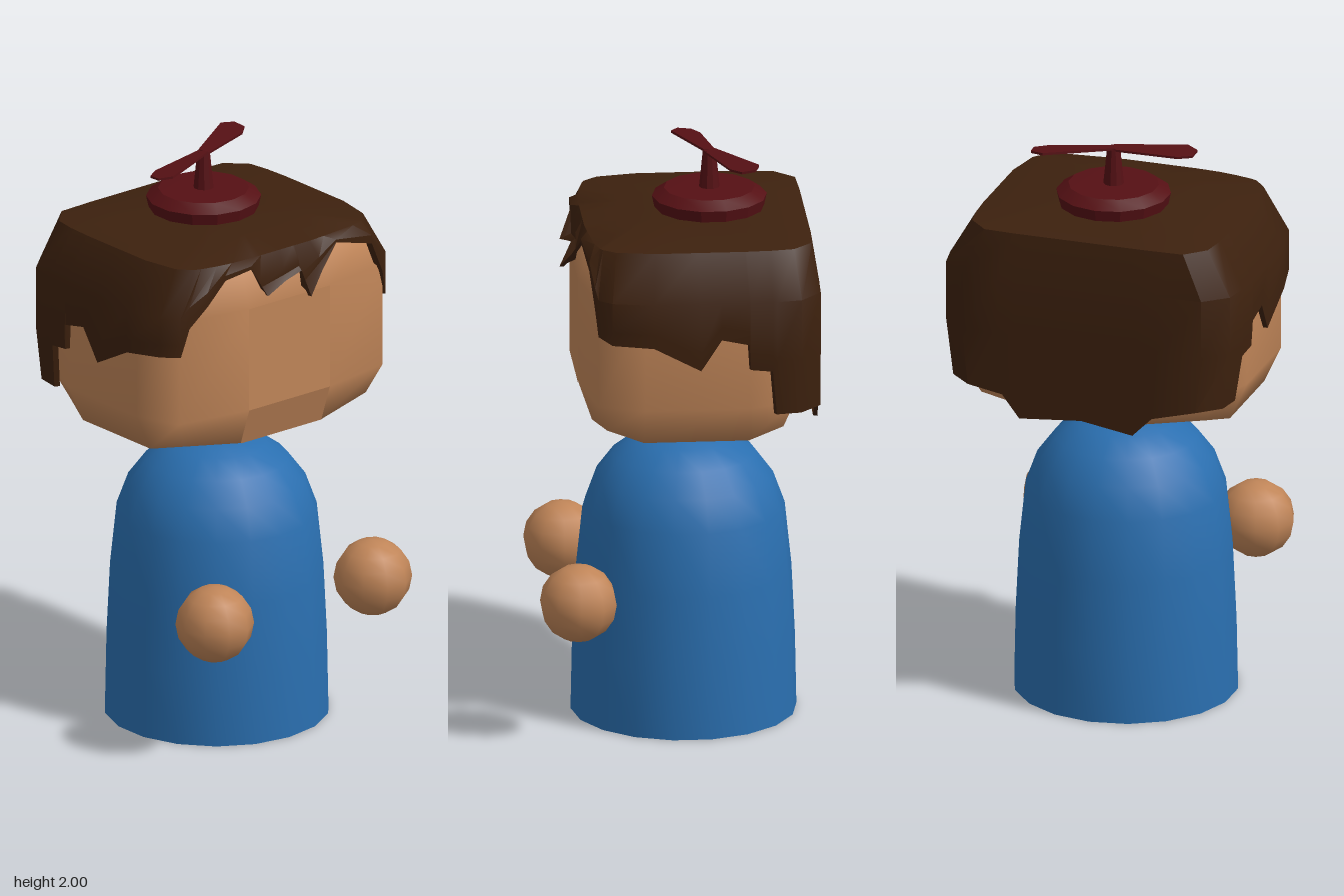
import * as THREE from 'three';
import { mergeVertices, toCreasedNormals } from 'three/addons/utils/BufferGeometryUtils.js';

const material = (color, extra = {}) => {
  const m = new THREE.MeshStandardMaterial({ color });
  return Object.assign(m, extra);
};
const skin = material(0xc08558);
const blue = material(0x2a6fb0);
const red = material(0x55101a);
const brown = material(0x3d210e, { side: THREE.DoubleSide });
red.color.set(0x551014);

function addMesh(parent, name, geometry, mat, x = 0, y = 0, z = 0) {
  const mesh = new THREE.Mesh(geometry, mat);
  mesh.name = name;
  mesh.position.set(x, y, z);
  parent.add(mesh);
  return mesh;
}

function lathe(profile, sides, crease) {
  const g = new THREE.LatheGeometry(profile.map(([r, y]) => new THREE.Vector2(r, y)), sides);
  return toCreasedNormals(g, crease);
}

// Box with three divisions per side, edges and corners pulled in
function headGeometry() {
  let g = new THREE.BoxGeometry(2, 2, 2, 3, 3, 3);
  g.deleteAttribute('uv');
  g.deleteAttribute('normal');
  g = mergeVertices(g);
  const half = [0.51, 0.36, 0.38], inner = [0.35, 0.51, 0.47];
  const p = g.attributes.position;
  for (let i = 0; i < p.count; i++) {
    const v = [p.getX(i), p.getY(i), p.getZ(i)];
    const outer = v.filter((c) => Math.abs(c) > 0.9).length;
    const pull = [1, 1, 0.88, 0.79][outer];
    const w = v.map((c, k) => Math.sign(c) * half[k] * (Math.abs(c) > 0.9 ? pull : inner[k]));
    p.setXYZ(i, ...w);
  }
  g.computeVertexNormals();
  return g;
}

// Flat strip down the middle of the face
function facePanelGeometry() {
  const g = new THREE.PlaneGeometry(0.357, 1, 1, 2);
  const p = g.attributes.position;
  const rows = [[1.594, 0.332], [1.226, 0.332], [1.093, 0.287]];
  for (let i = 0; i < p.count; i++) {
    const [y, z] = rows[Math.floor(i / 2)];
    p.setY(i, y);
    p.setZ(i, z);
  }
  return toCreasedNormals(g, 0.1);
}

// Hair: columns run from the crown to a ragged hem that circles the head
function hairGeometry() {
  const front = [
    [-0.5, 1.47, 0.24], [-0.45, 1.47, 0.29], [-0.42, 1.57, 0.30], [-0.35, 1.64, 0.315],
    [-0.28, 1.72, 0.325], [-0.17, 1.735, 0.33], [-0.13, 1.64, 0.37], [-0.03, 1.665, 0.345],
    [0.04, 1.685, 0.345], [0.05, 1.6, 0.385], [0.13, 1.67, 0.35], [0.21, 1.74, 0.325],
    [0.38, 1.69, 0.31], [0.44, 1.57, 0.295], [0.46, 1.48, 0.285], [0.5, 1.46, 0.24],
  ];
  const side = [
    [0.53, 1.455, 0.1], [0.53, 1.37, -0.06], [0.53, 1.48, -0.13], [0.53, 1.46, -0.225],
    [0.53, 1.37, -0.23], [0.525, 1.36, -0.305], [0.525, 1.2, -0.32], [0.51, 1.2, -0.405],
  ];
  const back = [
    [0.43, 1.2, -0.475], [0.3, 1.18, -0.48], [0.24, 1.1, -0.48],
    [0, 1.12, -0.48], [-0.2, 1.09, -0.48], [-0.27, 1.16, -0.48], [-0.43, 1.2, -0.475],
  ];
  const otherSide = side.map(([x, y, z]) => [-x, y, z]).reverse();
  const hem = [...front, ...side, ...back, ...otherSide];
  const cz = -0.08, topY = 1.765, pos = [], index = [], rows = 7;
  for (const [x, y, z] of hem) {
    const fz = Math.min(z, 0.33) - cz;
    const add = (sx, sz, h) => pos.push(x * sx, h, cz + fz * sz);
    const taper = 1 - 0.05 * Math.max(0, (1.4 - y) / 0.2);
    const rise = topY - y;
    add(0, 0, 1.79);
    add(0.5, 0.6, 1.79);
    add(0.83, 0.94, topY);
    add(1, 1, Math.max(1.61, y + 0.4 * rise));
    add(1, 1, Math.max(1.4, y + 0.15 * rise));
    pos.push(x * taper, y, z);
    pos.push(x * taper * 0.965, y, cz + (z - cz) * 0.965);
  }
  for (let i = 0; i < hem.length; i++) {
    const n = (i + 1) % hem.length;
    for (let j = 0; j < rows - 1; j++) {
      const a = i * rows + j, d = n * rows + j;
      if (j > 0) index.push(a, a + 1, d);
      index.push(a + 1, d + 1, d);
    }
  }
  const g = new THREE.BufferGeometry();
  g.setAttribute('position', new THREE.Float32BufferAttribute(pos, 3));
  g.setIndex(index);
  return toCreasedNormals(g, 0.7);
}

// Flat propeller blade along +x, widening to an angled tip
function bladeGeometry() {
  const pts = [[0, -0.02], [0.22, -0.045], [0.27, -0.03], [0.285, 0.015], [0.25, 0.05], [0, 0.02]];
  const shape = new THREE.Shape(pts.map(([x, y]) => new THREE.Vector2(x, y)));
  const g = new THREE.ExtrudeGeometry(shape, { depth: 0.008, bevelEnabled: false });
  return g.rotateX(-Math.PI / 2 + 0.1);
}

export function createModel() {
  const model = new THREE.Group();
  model.name = 'figure';

  // Bell-shaped body with a closed base
  addMesh(model, 'body', lathe([
    [0, 0], [0.385, 0], [0.38, 0.25], [0.368, 0.5], [0.345, 0.72], [0.305, 0.83],
    [0.245, 0.91], [0.17, 0.965], [0.09, 0.99], [0, 0.99],
  ], 18, 0.6), blue, -0.012, 0, -0.043);
  addMesh(model, 'neck', new THREE.CylinderGeometry(0.087, 0.087, 0.1, 14), blue, -0.012, 1.02, -0.043);

  // Floating hands
  for (const s of [1, -1]) {
    addMesh(model, s > 0 ? 'leftHand' : 'rightHand',
      new THREE.SphereGeometry(0.134, 10, 8), skin, 0.005 + s * 0.35, 0.497, 0.345);
  }

  // Head and hair
  addMesh(model, 'head', headGeometry(), skin, 0, 1.41, -0.05);
  addMesh(model, 'facePanel', facePanelGeometry(), skin, -0.003);
  addMesh(model, 'hair', hairGeometry(), brown);

  // Propeller on a round cap
  const propeller = new THREE.Group();
  propeller.name = 'propeller';
  propeller.position.set(0.003, 0, -0.13);
  model.add(propeller);
  addMesh(propeller, 'cap', lathe([
    [0, 1.78], [0.185, 1.78], [0.196, 1.83], [0.155, 1.858], [0, 1.86],
  ], 14, 0.4), red);
  addMesh(propeller, 'stem', lathe([
    [0.036, 1.85], [0.022, 1.99], [0.012, 1.99], [0.012, 1.96], [0, 1.96],
  ], 10, 0.6), red);
  [['leftBlade', 0.45, 0.01], ['rightBlade', Math.PI + 0.26, -0.04]].forEach(([name, turn, tilt]) => {
    const blade = addMesh(propeller, name, bladeGeometry(), red, 0, 1.983, 0);
    blade.rotation.set(0, turn, tilt);
  });
  return model;
}
